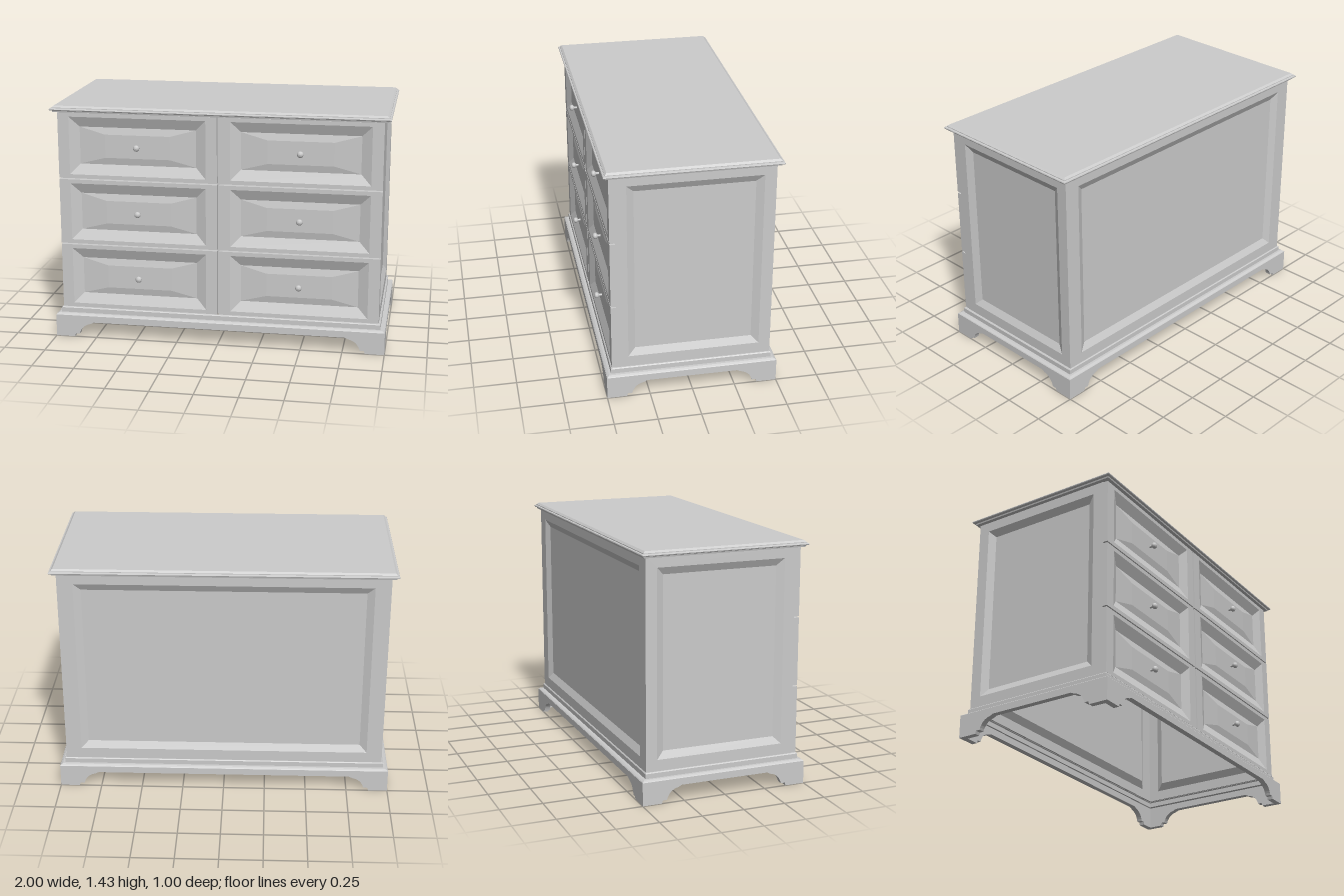
import * as THREE from 'three';

const material = new THREE.MeshStandardMaterial({ color: 0xcccccc, flatShading: true, side: THREE.DoubleSide });
const smooth = new THREE.MeshStandardMaterial({ color: 0xcccccc });

// Joins rectangular rings [halfWidth, halfHeight, z] into a mitred surface facing +z.
function rectLoft(rings, capStart = false, capEnd = false) {
  const pos = [];
  const corners = rings.map(([w, h, z]) => [[-w, -h, z], [w, -h, z], [w, h, z], [-w, h, z]]);
  const quad = (a, b, c, d) => pos.push(...a, ...b, ...c, ...a, ...c, ...d);
  for (let i = 0; i < corners.length - 1; i++) {
    for (let k = 0; k < 4; k++) {
      const n = (k + 1) % 4;
      quad(corners[i][k], corners[i][n], corners[i + 1][n], corners[i + 1][k]);
    }
  }
  const first = corners[0], last = corners[corners.length - 1];
  if (capStart) quad(first[3], first[2], first[1], first[0]);
  if (capEnd) quad(...last);
  const geo = new THREE.BufferGeometry();
  geo.setAttribute('position', new THREE.Float32BufferAttribute(pos, 3));
  geo.computeVertexNormals();
  return geo;
}

function add(parent, name, geo, x = 0, y = 0, z = 0, ry = 0, mat = material) {
  const mesh = new THREE.Mesh(geo, mat);
  mesh.name = name;
  mesh.position.set(x, y, z);
  mesh.rotation.y = ry;
  parent.add(mesh);
  return mesh;
}

// Thin wall with a bevelled, recessed field.
function wallPanel(halfWidth, frame) {
  return rectLoft([
    [halfWidth, 0.61, 0],
    [halfWidth - frame, 0.5425, 0],
    [halfWidth - frame - 0.043, 0.5, -0.022],
  ], false, true);
}

// Base board with a bracket foot at each end; trim shortens the ends for the corner joints.
function baseBoard(half, thickness, trim) {
  const end = half - trim;
  const s = new THREE.Shape();
  s.moveTo(-end, 0);
  s.lineTo(-half + 0.115, 0);
  s.lineTo(-half + 0.12, 0.018);
  s.lineTo(-half + 0.145, 0.018);
  s.quadraticCurveTo(-half + 0.16, 0.075, -half + 0.215, 0.085);
  s.lineTo(-half + 0.235, 0.095);
  s.lineTo(half - 0.235, 0.095);
  s.lineTo(half - 0.215, 0.085);
  s.quadraticCurveTo(half - 0.16, 0.075, half - 0.145, 0.018);
  s.lineTo(half - 0.12, 0.018);
  s.lineTo(half - 0.115, 0);
  s.lineTo(end, 0);
  s.lineTo(end, 0.135);
  s.lineTo(-end, 0.135);
  s.closePath();
  const geo = new THREE.ExtrudeGeometry(s, { depth: thickness, bevelEnabled: false, curveSegments: 8 });
  return geo.translate(0, 0, -thickness);
}

export function createModel() {
  const model = new THREE.Group();
  model.name = 'dresser';

  // Hollow carcass, open underneath
  const carcass = new THREE.Group();
  carcass.name = 'carcass';
  model.add(carcass);
  const midY = 0.7875;
  const side = wallPanel(0.45, 0.067);
  add(carcass, 'leftSide', side, 0.96, midY, -0.015, Math.PI / 2);
  add(carcass, 'rightSide', side, -0.96, midY, -0.015, -Math.PI / 2);
  add(carcass, 'backPanel', wallPanel(0.96, 0.093), 0, midY, -0.465, Math.PI);
  add(carcass, 'frontPanel', new THREE.PlaneGeometry(1.92, 1.22), 0, midY, 0.434);

  // Moulded top
  const top = rectLoft([
    [0.983, 0.483, 1.39], [0.985, 0.485, 1.398], [0.998, 0.496, 1.402], [1, 0.498, 1.407],
    [0.998, 0.496, 1.412], [0.988, 0.487, 1.414], [0.988, 0.487, 1.418], [0.976, 0.475, 1.428],
  ], true, true).rotateX(-Math.PI / 2);
  add(model, 'top', top);

  // Base moulding
  const moulding = rectLoft([
    [0.95, 0.455, 0.134], [1, 0.5, 0.134], [0.996, 0.496, 0.139], [0.985, 0.485, 0.145],
    [0.971, 0.472, 0.146], [0.971, 0.472, 0.174], [0.966, 0.468, 0.179], [0.95, 0.455, 0.179],
  ]).rotateX(-Math.PI / 2);
  add(model, 'baseMoulding', moulding);

  // Bracket-footed base boards
  const thickness = 0.035;
  const longBoard = baseBoard(1, thickness, 0);
  const shortBoard = baseBoard(0.5, thickness, thickness);
  add(model, 'frontBase', longBoard, 0, 0, 0.5);
  add(model, 'backBase', longBoard, 0, 0, -0.5, Math.PI);
  add(model, 'leftBase', shortBoard, 1, 0, 0, Math.PI / 2);
  add(model, 'rightBase', shortBoard, -1, 0, 0, -Math.PI / 2);

  // Drawer fronts with a raised field set in a bevelled recess
  const front = rectLoft([
    [0.477, 0.198, 0], [0.477, 0.198, 0.031], [0.41, 0.174, 0.031],
    [0.35, 0.112, 0.005], [0.195, 0.07, 0.014],
  ], false, true);

  // Round knob on a short stem
  const knobProfile = [[0.007, 0], [0.007, 0.016], [0.013, 0.02], [0.018, 0.026], [0.019, 0.032],
    [0.016, 0.04], [0.01, 0.044], [0, 0.046]].map(([r, y]) => new THREE.Vector2(r, y));
  const knob = new THREE.LatheGeometry(knobProfile, 20).rotateX(Math.PI / 2);

  for (const sideSign of [-1, 1]) {
    for (let row = 0; row < 3; row++) {
      const drawer = new THREE.Group();
      drawer.name = 'drawer';
      drawer.position.set(sideSign * 0.483, 0.38 + row * 0.404, 0.434);
      add(drawer, 'drawerFront', front);
      add(drawer, 'knob', knob, 0, 0, 0.014, 0, smooth);
      model.add(drawer);
    }
  }
  return model;
}
